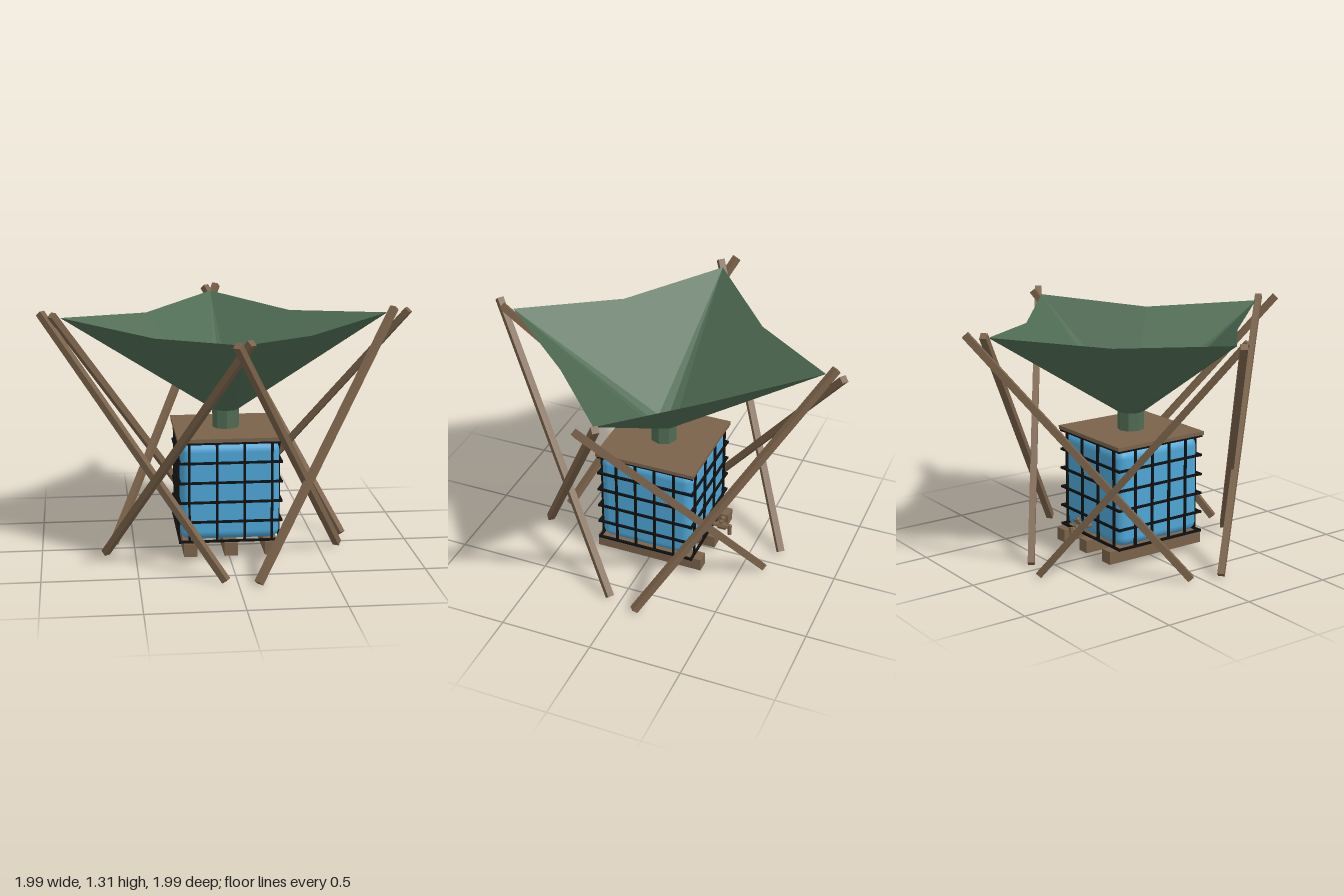
import * as THREE from 'three';
import { RoundedBoxGeometry } from 'three/addons/geometries/RoundedBoxGeometry.js';

const material = (name, color, extra = {}) => {
  const m = new THREE.MeshStandardMaterial({ color, ...extra });
  m.name = name;
  return m;
};

export function createModel() {
  const wood = material('wood', 0x7a624a, { flatShading: true });
  const canvas = material('green canvas', 0x4f6b53, { flatShading: true, side: THREE.DoubleSide });
  const plastic = material('blue plastic', 0x4ca6d6);
  const steel = material('black steel', 0x101010, { flatShading: true });

  const model = new THREE.Group();
  model.name = 'rainCollector';
  const group = (name) => {
    const g = new THREE.Group();
    g.name = name;
    model.add(g);
    return g;
  };
  const add = (parent, name, geometry, mat, x = 0, y = 0, z = 0) => {
    const mesh = new THREE.Mesh(geometry, mat);
    mesh.name = name;
    mesh.position.set(x, y, z);
    parent.add(mesh);
    return mesh;
  };
  const box = (parent, name, mat, w, h, d, x, y, z) =>
    add(parent, name, new THREE.BoxGeometry(w, h, d), mat, x, y, z);

  // Crossed support poles: one pair per side, turned four times
  const pole = (parent, a, b) => {
    const from = new THREE.Vector3(...a), to = new THREE.Vector3(...b);
    const dir = to.clone().sub(from);
    const length = dir.length();
    dir.normalize();
    const across = dir.clone().cross(new THREE.Vector3(0, 1, 0)).normalize();
    const normal = across.clone().cross(dir);
    const mid = from.add(to).multiplyScalar(0.5);
    const mesh = add(parent, 'pole', new THREE.BoxGeometry(0.036, length, 0.036), wood, mid.x, mid.y, mid.z);
    mesh.quaternion.setFromRotationMatrix(new THREE.Matrix4().makeBasis(across, dir, normal));
  };
  for (let i = 0; i < 4; i++) {
    const pair = group('crossedPoles');
    pole(pair, [0.06, 0.015, -0.61], [0.975, 1.3, 0.045]);
    pole(pair, [0.66, 0.015, -0.1], [-0.03, 1.3, -0.915]);
    pair.rotation.y = i * Math.PI / 2;
  }

  // Canvas funnel: eight panels from the neck to high corners and sagging edges
  const inner = [], outer = [];
  for (let i = 0; i < 8; i++) {
    const a = i * Math.PI / 4;
    const corner = i % 2 === 0;
    const r = corner ? 0.87 : 0.4 * Math.SQRT2;
    inner.push([0.072 * Math.cos(a), 0.775, 0.072 * Math.sin(a)]);
    outer.push([r * Math.cos(a), corner ? 1.28 : 1.235, r * Math.sin(a)]);
  }
  const points = [];
  for (let i = 0; i < 8; i++) {
    const j = (i + 1) % 8;
    // each panel is split along the line that starts at its high corner
    if (i % 2 === 0) points.push(inner[i], inner[j], outer[i], inner[j], outer[j], outer[i]);
    else points.push(inner[i], inner[j], outer[j], inner[i], outer[j], outer[i]);
  }
  const sheet = new THREE.BufferGeometry();
  sheet.setAttribute('position', new THREE.Float32BufferAttribute(points.flat(), 3));
  sheet.computeVertexNormals();
  add(model, 'canvasFunnel', sheet, canvas);
  add(model, 'funnelNeck', new THREE.CylinderGeometry(0.072, 0.072, 0.11, 8, 1, true), canvas, 0, 0.725, 0);

  // Water tank with its lid
  add(model, 'waterTank', new RoundedBoxGeometry(0.526, 0.53, 0.526, 3, 0.05), plastic, 0, 0.382, 0);
  box(model, 'lid', wood, 0.56, 0.02, 0.56, 0, 0.666, 0);

  // Steel cage: horizontal rings and four uprights on each side
  const cage = group('cage');
  const t = 0.012, reach = 0.268;
  for (const s of [-1, 1]) {
    for (let i = 0; i < 6; i++) {
      const y = 0.115 + i * 0.107;
      box(cage, 'ringBar', steel, 0.55, t, t, 0, y, s * reach);
      box(cage, 'ringBar', steel, t, t, 0.55, s * reach, y, 0);
    }
    for (let i = 0; i < 4; i++) {
      box(cage, 'upright', steel, t, 0.535, t, (i - 1.5) * 0.146, 0.382, s * reach);
      box(cage, 'upright', steel, t, 0.535, t, s * reach, 0.382, (i - 1.5) * 0.11);
    }
  }

  // Base beams
  for (const x of [-0.215, 0, 0.215]) box(model, 'baseBeam', wood, 0.07, 0.07, 0.605, x, 0.073, -0.015);

  // Tap at the back
  const tap = group('tap');
  const pipe = add(tap, 'tapPipe', new THREE.CylinderGeometry(0.012, 0.012, 0.14, 8), wood, 0, 0.178, -0.33);
  pipe.rotation.x = Math.PI / 2;
  const body = add(tap, 'tapBody', new THREE.CylinderGeometry(0.021, 0.021, 0.045, 8), wood, 0, 0.178, -0.348);
  body.rotation.x = Math.PI / 2;
  add(tap, 'tapStem', new THREE.CylinderGeometry(0.008, 0.008, 0.05, 8), wood, 0, 0.208, -0.348);
  box(tap, 'tapHandle', wood, 0.06, 0.014, 0.018, 0, 0.215, -0.348);
  add(tap, 'tapKnob', new THREE.SphereGeometry(0.012, 8, 6), wood, 0, 0.228, -0.348);
  add(tap, 'tapSpout', new THREE.CylinderGeometry(0.012, 0.012, 0.06, 8), wood, 0, 0.16, -0.391);

  return model;
}
